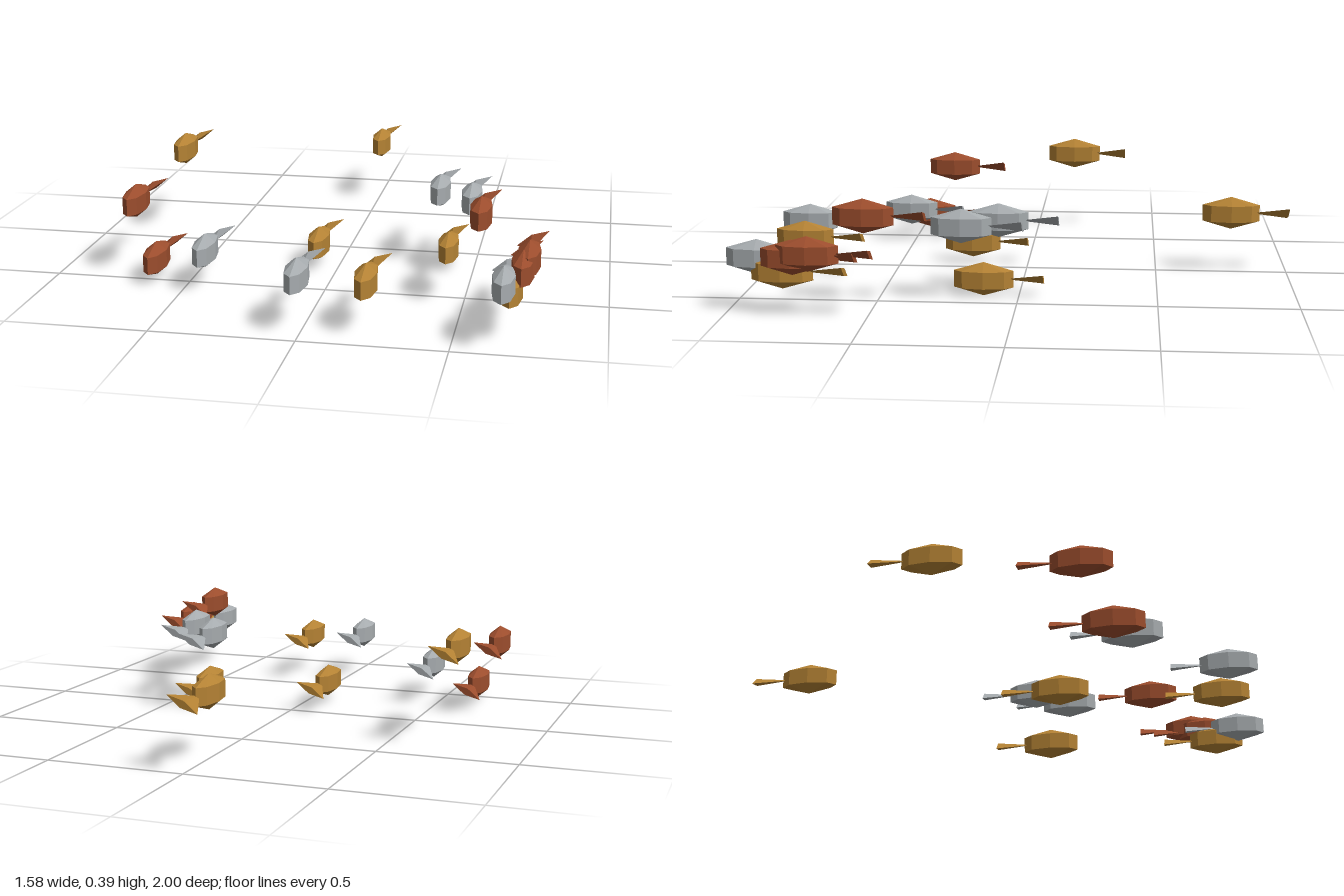
import * as THREE from 'three';

// Faceted copy of a geometry: one normal per face
function faceted(geometry) {
  const flat = geometry.toNonIndexed();
  flat.computeVertexNormals();
  return flat;
}

export function createModel() {
  const school = new THREE.Group();
  school.name = 'fishSchool';

  // Body: coarse sphere, narrow and stretched along z
  const bodyGeo = faceted(new THREE.SphereGeometry(0.125, 8, 3).scale(0.35, 0.5, 1));

  // Tail: flattened four-sided cone, apex inside the body, rolled about z
  const tailGeo = faceted(
    new THREE.ConeGeometry(0.0625, 0.14, 4)
      .scale(1, 1, 0.22)
      .rotateX(Math.PI / 2)
      .rotateZ(0.49)
      .translate(0, 0, -0.147)
  );

  // Fish centres [x, y, z] for each colour
  const shoals = [
    { name: 'gold', color: 0xb48234, at: [
      [0, 0.233, -0.783], [-0.7, 0.33, -0.157], [-0.078, 0.085, 0.218],
      [0.4, 0.064, 0.128], [0.203, 0.16, 0.823], [0.68, 0.155, 0.797],
    ] },
    { name: 'silver', color: 0xa6abae, at: [
      [-0.435, 0.13, 0.515], [0.36, 0.273, 0.076], [0.49, 0.28, 0.198],
      [-0.025, 0.175, 0.853], [0.66, 0.2, 0.888],
    ] },
    { name: 'rust', color: 0x9c4d2d, at: [
      [-0.737, 0.258, 0.367], [-0.635, 0.073, 0.463], [0.553, 0.325, 0.535],
      [0.73, 0.23, 0.697], [0.713, 0.213, 0.754],
    ] },
  ];

  for (const { name, color, at } of shoals) {
    const material = new THREE.MeshStandardMaterial({ color });
    material.name = name;
    at.forEach((p, i) => {
      const fish = new THREE.Group();
      fish.name = `${name}Fish${i + 1}`;
      const body = new THREE.Mesh(bodyGeo, material);
      body.name = 'body';
      const tail = new THREE.Mesh(tailGeo, material);
      tail.name = 'tail';
      fish.add(body, tail);
      fish.position.set(...p);
      school.add(fish);
    });
  }
  return school;
}
